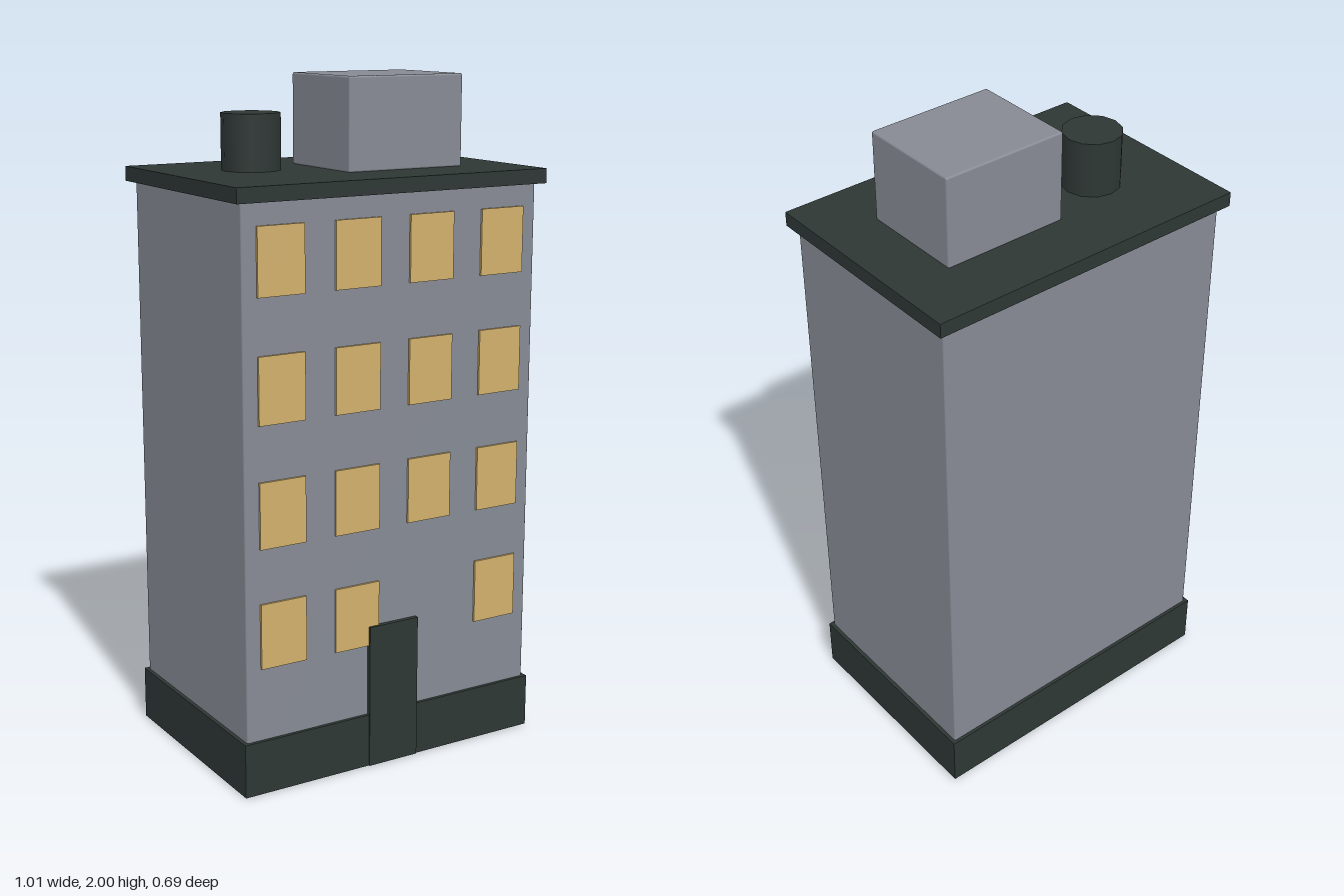
import * as THREE from 'three';
import { RoundedBoxGeometry } from 'three/addons/geometries/RoundedBoxGeometry.js';

function material(name, color) {
  const m = new THREE.MeshStandardMaterial({ color });
  m.name = name;
  return m;
}

export function createModel() {
  const wallGrey = material('wallGrey', 0x868a93);
  const darkTrim = material('darkTrim', 0x2e3735);
  const windowAmber = material('windowAmber', 0xd0b06c);

  const model = new THREE.Group();
  model.name = 'apartmentBuilding';

  function add(name, geometry, mat, x, y, z, parent = model) {
    const mesh = new THREE.Mesh(geometry, mat);
    mesh.name = name;
    mesh.position.set(x, y, z);
    parent.add(mesh);
    return mesh;
  }

  // Main block, running from the ground up into the roof slab
  add('walls', new RoundedBoxGeometry(0.967, 1.71, 0.65, 2, 0.005), wallGrey, -0.002, 0.855, 0.002);

  // Plinth, lifted a hair so the underside of the walls stays visible
  add('plinth', new THREE.BoxGeometry(0.99, 0.161, 0.67), darkTrim, -0.002, 0.0825, 0.002);

  // Overhanging roof slab
  add('roofSlab', new THREE.BoxGeometry(1.014, 0.043, 0.694), darkTrim, 0, 1.7115, 0);

  // Rooftop stair house and water tank
  add('stairHouse', new RoundedBoxGeometry(0.386, 0.268, 0.322, 2, 0.006), wallGrey, 0.144, 1.866, 0);
  add('waterTank', new THREE.CylinderGeometry(0.086, 0.086, 0.165, 12), darkTrim, -0.245, 1.8135, -0.057);

  // Entrance door
  add('door', new THREE.BoxGeometry(0.166, 0.435, 0.016), darkTrim, -0.002, 0.2195, 0.333);

  // Window grid, with the space beside the door left blank
  const windows = new THREE.Group();
  windows.name = 'windows';
  model.add(windows);
  const pane = new THREE.BoxGeometry(0.146, 0.192, 0.009);
  for (let row = 0; row < 4; row++) {
    for (let col = 0; col < 4; col++) {
      if (row === 0 && col === 2) continue;
      add('window', pane, windowAmber, -0.367 + col * 0.2435, 0.475 + row * 0.352, 0.3295, windows);
    }
  }

  return model;
}
